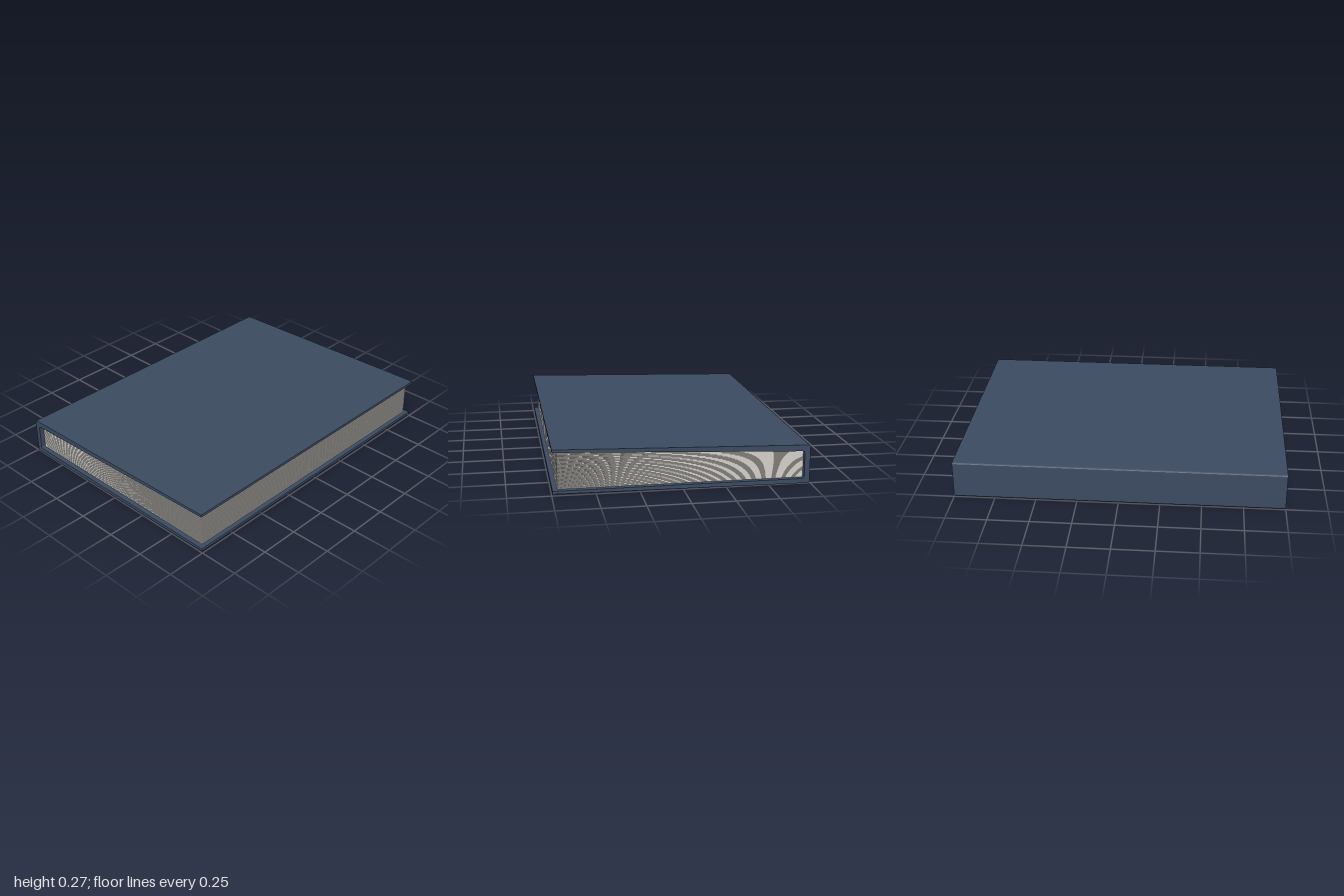
import * as THREE from 'three';

// Extrudes an x-y outline along z, centred on z = 0
function extrudeCentred(shape, depth) {
  const geo = new THREE.ExtrudeGeometry(shape, { depth, bevelEnabled: false, curveSegments: 4 });
  geo.translate(0, 0, -depth / 2);
  return geo;
}

export function createModel() {
  const book = new THREE.Group();
  book.name = 'book';
  const coverMat = new THREE.MeshStandardMaterial({ color: 0x3b4a60 });
  const pageMat = new THREE.MeshStandardMaterial({ color: 0xd2cec8 });

  // Cover: spine and two tapering boards as one C-shaped section
  const c = new THREE.Shape();
  c.moveTo(-0.735, 0);
  c.lineTo(0.745, 0.01);
  c.lineTo(0.745, 0.027);
  c.lineTo(-0.7, 0.028);
  c.quadraticCurveTo(-0.713, 0.028, -0.713, 0.04);
  c.lineTo(-0.713, 0.18);
  c.quadraticCurveTo(-0.713, 0.192, -0.7, 0.193);
  c.lineTo(0.745, 0.252);
  c.lineTo(0.745, 0.268);
  c.lineTo(-0.732, 0.229);
  c.quadraticCurveTo(-0.746, 0.228, -0.746, 0.216);
  c.lineTo(-0.746, 0.012);
  c.quadraticCurveTo(-0.746, 0, -0.735, 0);
  const cover = new THREE.Mesh(extrudeCentred(c, 2), coverMat);
  cover.name = 'cover';
  book.add(cover);

  // Pages: thin sheets fanning open from the spine
  const pages = new THREE.Group();
  pages.name = 'pages';
  const count = 28, thick = 0.005;
  for (let i = 0; i < count; i++) {
    const t = i / (count - 1);
    const y0 = 0.029 + t * 0.156; // at the spine
    const y1 = 0.029 + t * 0.212; // at the open edge
    const s = new THREE.Shape();
    s.moveTo(-0.712, y0);
    s.lineTo(0.717, y1);
    s.lineTo(0.717, y1 + thick);
    s.lineTo(-0.712, y0 + thick);
    s.closePath();
    const sheet = new THREE.Mesh(extrudeCentred(s, 1.94), pageMat);
    sheet.name = 'page' + (i + 1);
    pages.add(sheet);
  }
  book.add(pages);
  return book;
}
